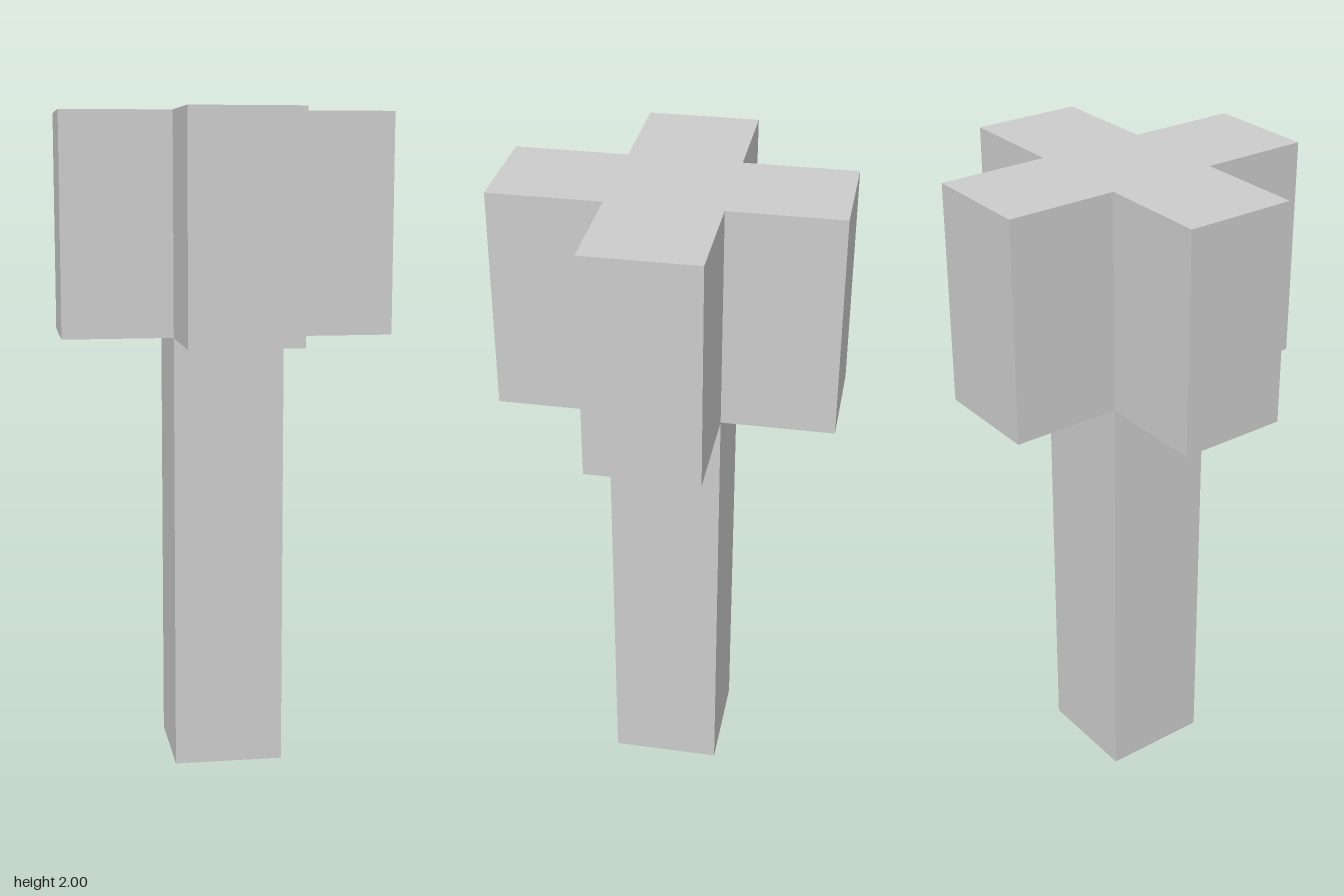
import * as THREE from 'three';

const HALF_WIDTH = 1 / 6; // half the thickness of the shaft and of each arm
const REACH = 0.5;        // distance from the axis to the end of an arm
const HEAD_BASE = 4 / 3;
const HEIGHT = 2;

// Plus-shaped outline: one arm's corners turned through four quarter turns
function crossShape() {
  const corners = [];
  for (let i = 0; i < 4; i++) {
    for (const [x, y] of [[REACH, -HALF_WIDTH], [REACH, HALF_WIDTH], [HALF_WIDTH, HALF_WIDTH]]) {
      corners.push(new THREE.Vector2(x, y).rotateAround(new THREE.Vector2(), i * Math.PI / 2));
    }
  }
  return new THREE.Shape(corners);
}

export function createModel() {
  const group = new THREE.Group();
  const material = new THREE.MeshStandardMaterial({ color: 0xcccccc, flatShading: true });

  // Square shaft standing on the ground
  const shaft = new THREE.Mesh(
    new THREE.BoxGeometry(2 * HALF_WIDTH, HEAD_BASE, 2 * HALF_WIDTH), material);
  shaft.name = 'shaft';
  shaft.position.y = HEAD_BASE / 2;

  // Cross-shaped head on top of the shaft
  const headGeometry = new THREE.ExtrudeGeometry(crossShape(), {
    depth: HEIGHT - HEAD_BASE, bevelEnabled: false,
  });
  headGeometry.rotateX(-Math.PI / 2);
  const head = new THREE.Mesh(headGeometry, material);
  head.name = 'crossHead';
  head.position.y = HEAD_BASE;

  group.add(shaft, head);
  return group;
}
